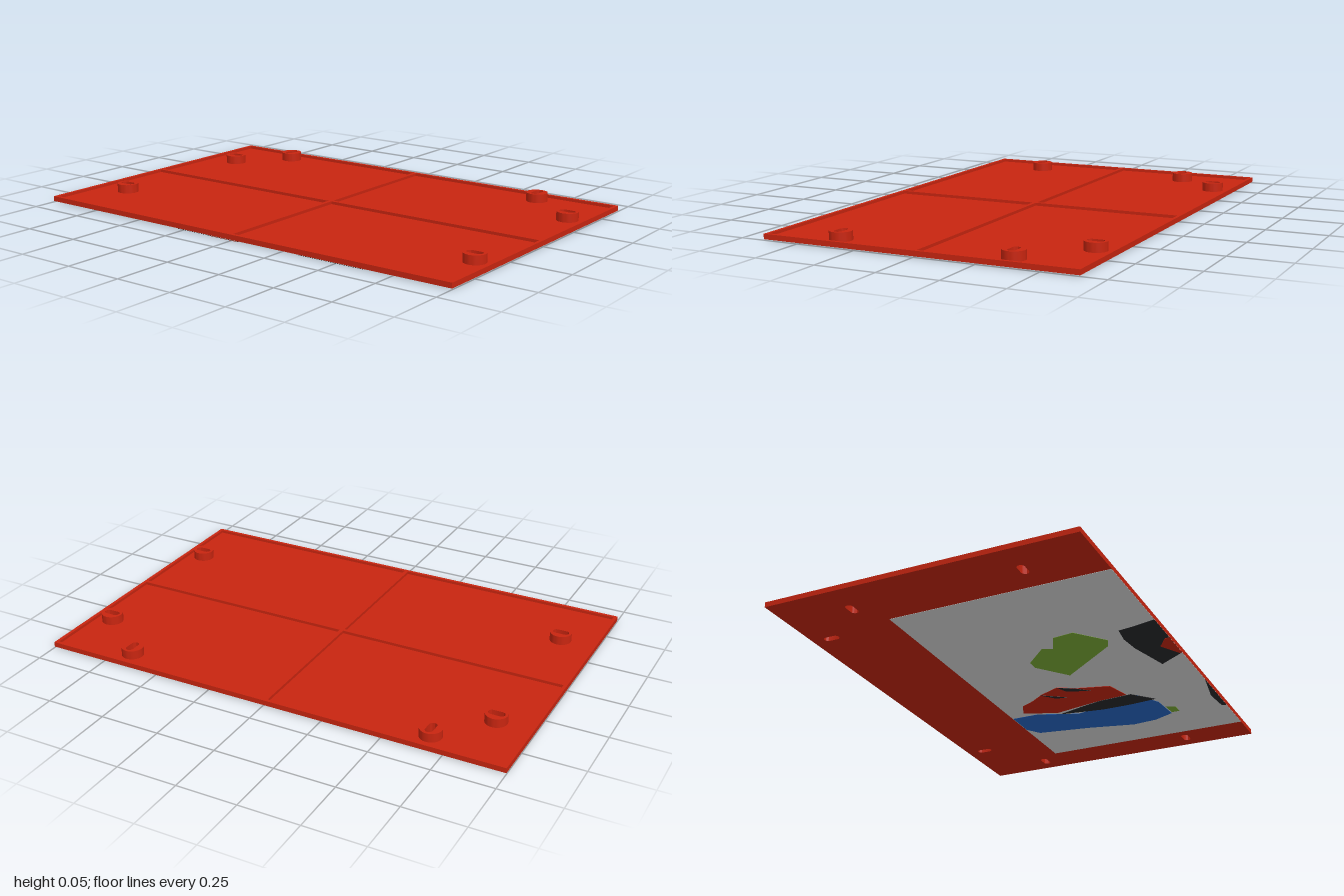
import * as THREE from 'three';
import { toCreasedNormals } from 'three/addons/utils/BufferGeometryUtils.js';

const material = (name, color) => {
  const m = new THREE.MeshStandardMaterial({ color });
  m.name = name;
  return m;
};

const HALF_W = 0.65, HALF_L = 1;          // panel half width and half length
const BASE = 0.004, FLOOR = 0.013, TOP = 0.025, BOSS_TOP = 0.05;
const RIM = 0.014;

// x, z, and whether the slot runs along x
const MOUNTS = [
  [-0.36, -0.845, false], [0.36, -0.845, false],
  [-0.36, 0.915, false], [0.36, 0.915, false],
  [0.565, -0.668, true], [0.565, 0.665, true],
];

// Extrudes an (x, z) outline between two heights
function slab(shape, y0, y1) {
  const g = new THREE.ExtrudeGeometry(shape, { depth: y1 - y0, bevelEnabled: false, curveSegments: 20 });
  g.rotateX(Math.PI / 2);
  g.translate(0, y1, 0);
  return toCreasedNormals(g, 0.6);
}

function rectangle(x0, x1, z0, z1) {
  return new THREE.Shape([[x0, z0], [x1, z0], [x1, z1], [x0, z1]].map(p => new THREE.Vector2(...p)));
}

// Round-ended slot
function slot(x, z, alongX) {
  const r = 0.016, h = 0.018, p = new THREE.Path();
  if (alongX) {
    p.absarc(x + h, z, r, -Math.PI / 2, Math.PI / 2);
    p.absarc(x - h, z, r, Math.PI / 2, Math.PI * 1.5);
  } else {
    p.absarc(x, z + h, r, 0, Math.PI);
    p.absarc(x, z - h, r, Math.PI, Math.PI * 2);
  }
  p.closePath();
  return p;
}

export function createModel() {
  const red = material('red', 0xc82510);
  const grey = material('light grey', 0xdedede);
  const blue = material('blue', 0x2869c8);
  const green = material('olive green', 0x7daf37);
  const black = material('black', 0x28292c);

  const model = new THREE.Group();
  model.name = 'coverPanel';
  const add = (name, geometry, mat) => {
    const mesh = new THREE.Mesh(geometry, mat);
    mesh.name = name;
    model.add(mesh);
  };

  // Recessed floor pierced by the mounting slots
  const floor = rectangle(-HALF_W, HALF_W, -HALF_L, HALF_L);
  MOUNTS.forEach(m => floor.holes.push(slot(...m)));
  add('floor', slab(floor, BASE, FLOOR), red);

  // Raised rim and cross ribs, as one frame with four openings
  const frame = rectangle(-HALF_W, HALF_W, -HALF_L, HALF_L);
  for (const [x0, x1] of [[-HALF_W + RIM, -0.008], [0.008, HALF_W - RIM]])
    for (const [z0, z1] of [[-HALF_L + RIM, -0.014], [0.002, HALF_L - RIM]])
      frame.holes.push(rectangle(x0, x1, z0, z1));
  add('rimAndRibs', slab(frame, FLOOR, TOP), red);

  // Slotted bosses
  MOUNTS.forEach(m => {
    const ring = new THREE.Shape().absarc(m[0], m[1], 0.045, 0, Math.PI * 2);
    ring.holes.push(slot(...m));
    add('mountingBoss', slab(ring, FLOOR, BOSS_TOP), red);
  });

  // Painted picture on the underside, in thin layers
  add('pictureBackground', slab(rectangle(-HALF_W, 0.273, -0.715, 0.838), 0.003, BASE), grey);

  const patch = (name, mat, layer, points) => {
    const shape = new THREE.Shape(points.map(p => new THREE.Vector2(...p)));
    add(name, slab(shape, 0.003 - layer * 0.001, 0.003), mat);
  };
  patch('blueBand', blue, 1, [[0.27, 0.37], [0.15, 0.37], [-0.02, 0.44], [-0.12, 0.42], [-0.19, 0.38],
    [-0.33, 0.36], [-0.39, 0.47], [-0.40, 0.61], [-0.31, 0.65], [-0.20, 0.66], [0, 0.61], [0.23, 0.57], [0.27, 0.51]]);
  patch('blackShade', black, 2, [[0.05, 0.41], [-0.08, 0.37], [-0.16, 0.35], [-0.31, 0.34],
    [-0.39, 0.43], [-0.27, 0.44], [-0.14, 0.44]]);
  patch('redPatch', red, 2, [[0.20, 0.33], [0.17, 0.26], [0.11, 0.23], [0.04, 0.18], [-0.05, 0.14], [-0.12, 0.18],
    [-0.26, 0.22], [-0.29, 0.335], [-0.16, 0.345], [-0.06, 0.365], [0.06, 0.39]]);
  patch('blackFleck', black, 3, [[0.05, 0.18], [-0.05, 0.25], [0.0, 0.24]]);
  patch('blackFleck', black, 3, [[-0.05, 0.14], [-0.12, 0.18], [-0.17, 0.23], [-0.07, 0.19]]);
  patch('greenPatch', green, 1, [[-0.05, -0.08], [-0.05, -0.13], [-0.15, -0.23], [-0.19, -0.21], [-0.23, -0.30],
    [-0.32, -0.31], [-0.42, -0.19], [-0.40, -0.14], [-0.15, 0.05]]);
  patch('greenFleck', green, 1, [[-0.405, 0.60], [-0.40, 0.53], [-0.44, 0.55], [-0.44, 0.60]]);
  patch('blackEdgePatch', black, 1, [[-0.54, 0.11], [-0.49, -0.08], [-0.48, -0.17], [-0.49, -0.25], [-0.56, -0.26],
    [-0.65, -0.28], [-0.65, 0.04]]);
  patch('redEdgePatch', red, 2, [[-0.64, 0.04], [-0.59, -0.05], [-0.63, -0.11], [-0.65, -0.11], [-0.65, 0.04]]);
  patch('blackEdgeSliver', black, 1, [[-0.65, 0.63], [-0.63, 0.62], [-0.62, 0.50], [-0.65, 0.33]]);

  return model;
}
